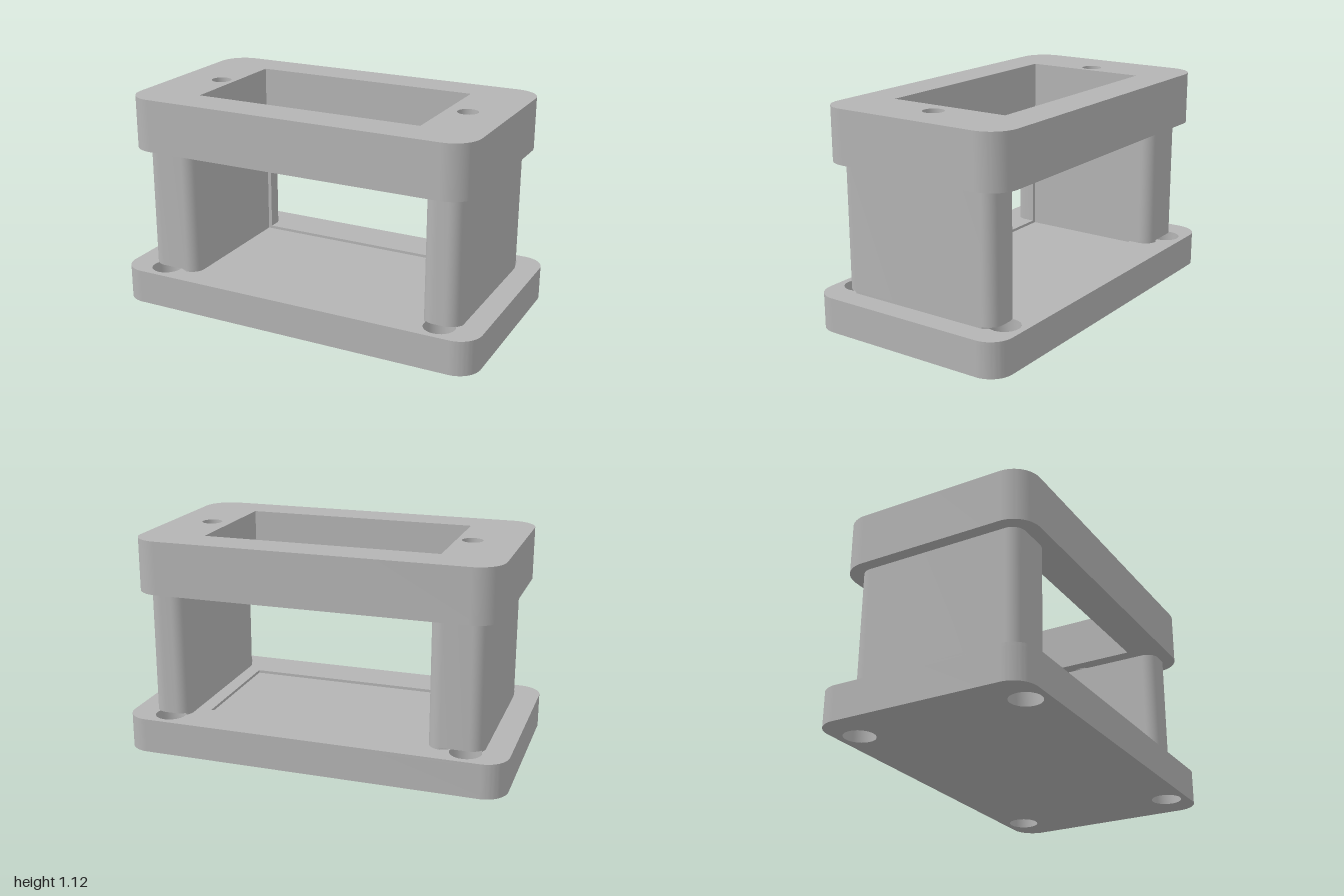
import * as THREE from 'three';
import { toCreasedNormals } from 'three/addons/utils/BufferGeometryUtils.js';

const HOLE_X = 0.785, HOLE_Z = 0.447, HOLE_R = 0.08;
const POCKET_X = 0.61, POCKET_Z = 0.33, WALL_Z = 0.455, WALL_R = 0.07;

function roundedRect(hx, hz, r) {
  const s = new THREE.Shape();
  s.absarc(hx - r, hz - r, r, 0, Math.PI / 2);
  s.absarc(-hx + r, hz - r, r, Math.PI / 2, Math.PI);
  s.absarc(-hx + r, -hz + r, r, Math.PI, Math.PI * 1.5);
  s.absarc(hx - r, -hz + r, r, Math.PI * 1.5, Math.PI * 2);
  s.closePath();
  return s;
}

const circle = (x, z, r) => new THREE.Path().absarc(x, z, r, 0, Math.PI * 2, true);

const pocket = () => new THREE.Path([
  [-POCKET_X, -POCKET_Z], [-POCKET_X, POCKET_Z], [POCKET_X, POCKET_Z], [POCKET_X, -POCKET_Z],
].map(([x, z]) => new THREE.Vector2(x, z)));

function arc(cx, cz, r, a0, a1, n = 10) {
  return Array.from({ length: n + 1 }, (_, i) => {
    const a = a0 + (a1 - a0) * i / n;
    return [cx + r * Math.cos(a), cz + r * Math.sin(a)];
  });
}

// Wall outline, mirrored front to back; bitten layers leave room for the base holes
function wallShape(side, inner, outer, bitten) {
  const half = inner < POCKET_X ? [[POCKET_X, POCKET_Z], [inner, POCKET_Z]] : [];
  const innerCorner = arc(inner + WALL_R, WALL_Z - WALL_R, WALL_R, Math.PI, Math.PI / 2);
  if (bitten) {
    half.push(...innerCorner.filter(([x]) => x < HOLE_X - HOLE_R));
    half.push(...arc(HOLE_X, HOLE_Z, HOLE_R, Math.PI + 0.2, Math.PI * 2 - 0.4, 14));
    half.push([outer, WALL_Z - WALL_R]);
  } else {
    half.push(...innerCorner, ...arc(outer - WALL_R, WALL_Z - WALL_R, WALL_R, Math.PI / 2, 0));
  }
  const back = half.map(([x, z]) => [x, -z]).reverse();
  return new THREE.Shape([...half, ...back].map(([x, z]) => new THREE.Vector2(x * side, z)));
}

export function createModel() {
  const model = new THREE.Group();
  model.name = 'mountingFrame';
  const grey = new THREE.MeshStandardMaterial({ color: 0xb4b4b4 });
  grey.name = 'grey';

  // Extrude a plan outline upward from y0 to y1
  function slab(name, shape, y0, y1) {
    const g = new THREE.ExtrudeGeometry(shape, { depth: y1 - y0, bevelEnabled: false, curveSegments: 12 });
    g.rotateX(-Math.PI / 2);
    g.translate(0, y0, 0);
    const mesh = new THREE.Mesh(toCreasedNormals(g, 0.6), grey);
    mesh.name = name;
    model.add(mesh);
  }

  // Base plate with four corner holes and a shallow central recess
  function baseShape() {
    const s = roundedRect(1, 0.56, 0.12);
    for (const x of [-HOLE_X, HOLE_X])
      for (const z of [-HOLE_Z, HOLE_Z]) s.holes.push(circle(x, z, HOLE_R));
    return s;
  }
  slab('basePlate', baseShape(), 0, 0.165);
  const rim = baseShape();
  rim.holes.push(pocket());
  slab('baseRecessRim', rim, 0.165, 0.18);

  // End walls: the right one is thicker and stepped by the pocket
  for (const [name, side, inner, outer] of [['rightWall', -1, 0.59, 0.87], ['leftWall', 1, 0.685, 0.88]]) {
    slab(name + 'Foot', wallShape(side, inner, outer, true), 0.18, 0.19);
    slab(name, wallShape(side, inner, outer, false), 0.19, 0.845);
  }

  // Top frame with window and two screw holes
  const top = roundedRect(0.935, 0.53, 0.14);
  top.holes.push(pocket(), circle(-0.69, 0, 0.053), circle(0.72, 0, 0.053));
  slab('topFrame', top, 0.845, 1.12);

  return model;
}
